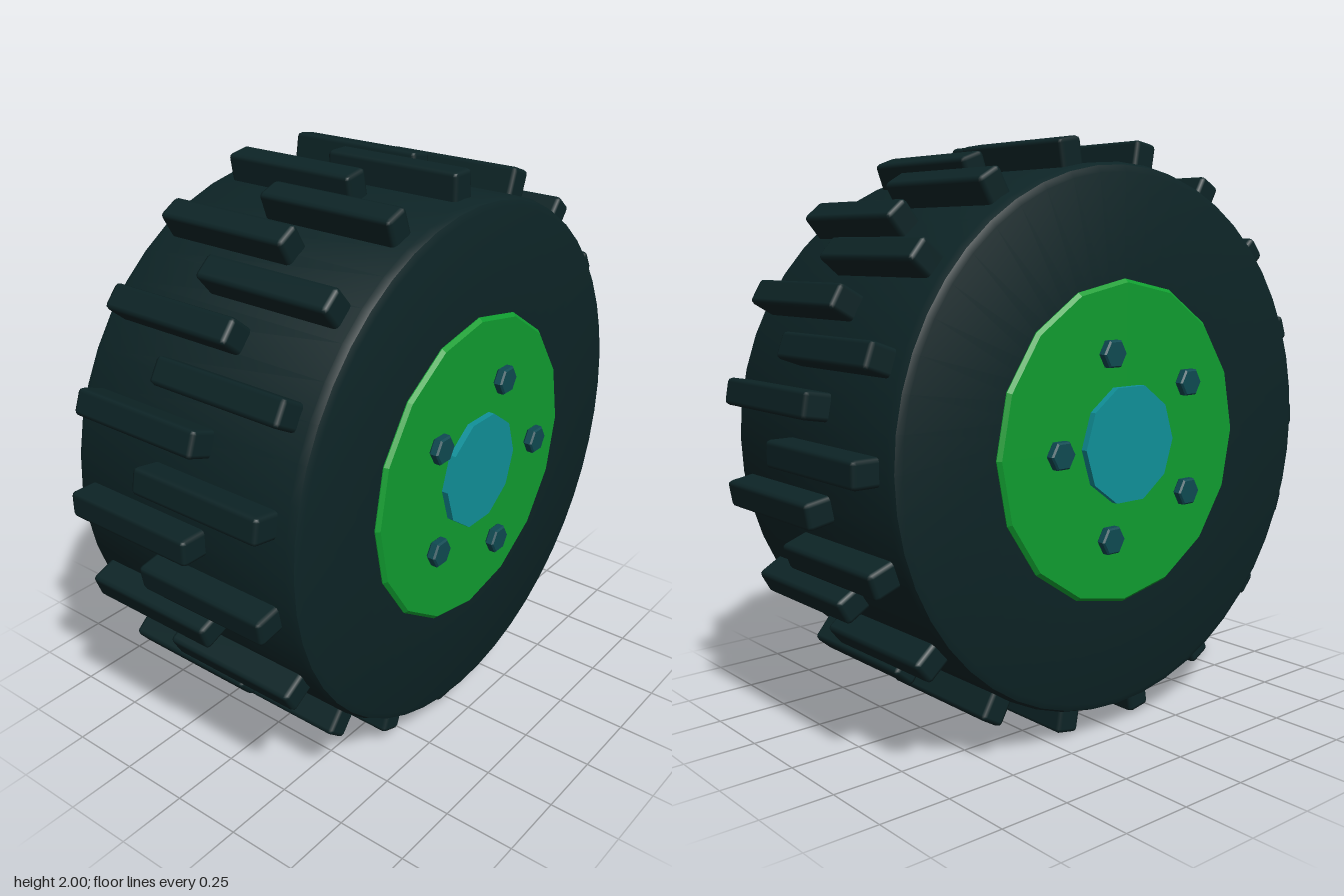
import * as THREE from 'three';
import { toCreasedNormals } from 'three/addons/utils/BufferGeometryUtils.js';
import { RoundedBoxGeometry } from 'three/addons/geometries/RoundedBoxGeometry.js';

function material(name, color, flatShading = false) {
  const m = new THREE.MeshStandardMaterial({ color, flatShading });
  m.name = name;
  return m;
}

// Solid turned about the x axis; profile is [radius, x] pairs from -x to +x
function turned(profile, sides) {
  const points = profile.map(([r, x]) => new THREE.Vector2(r, x));
  return new THREE.LatheGeometry(points, sides).rotateZ(-Math.PI / 2);
}

// Closed disc with chamfered rims on both faces
function disc(radius, half, chamfer, sides) {
  return turned([
    [0, -half], [radius - chamfer, -half], [radius, -half + chamfer],
    [radius, half - chamfer], [radius - chamfer, half], [0, half],
  ], sides);
}

export function createModel() {
  const model = new THREE.Group();
  model.name = 'wheel';
  const wheel = new THREE.Group();
  wheel.name = 'wheelAssembly';
  wheel.position.y = 1;
  model.add(wheel);

  const rubber = material('dark rubber', 0x0d2426);
  const green = material('rim green', 0x109d30, true);
  const teal = material('hub teal', 0x10919a, true);
  const steel = material('bolt blue grey', 0x0f4a52, true);

  function add(name, geometry, mat, parent = wheel) {
    const mesh = new THREE.Mesh(geometry, mat);
    mesh.name = name;
    parent.add(mesh);
    return mesh;
  }

  // Tyre body with softened shoulders
  const shoulder = [[0.44, 0.47], [0.88, 0.47], [0.902, 0.46], [0.912, 0.435]];
  const tyreProfile = [
    ...shoulder.map(([r, x]) => [r, -x]),
    ...shoulder.slice().reverse(),
  ];
  add('tyre', toCreasedNormals(turned(tyreProfile, 48), 0.6), rubber);

  // Tread lugs, alternating between the two sides
  const treads = new THREE.Group();
  treads.name = 'treads';
  wheel.add(treads);
  const lug = new RoundedBoxGeometry(0.51, 0.16, 0.09, 1, 0.015);
  for (let i = 0; i < 36; i++) {
    const angle = (i / 36) * Math.PI * 2;
    const mesh = add('treadLug', lug, rubber, treads);
    mesh.position.set(i % 2 ? -0.142 : 0.142, 0.92 * Math.cos(angle), 0.92 * Math.sin(angle));
    mesh.rotation.x = angle;
  }

  // Rim and hub pass right through the tyre
  add('rim', disc(0.54, 0.485, 0.012, 16), green);
  add('hub', turned([[0, -0.508], [0.2, -0.508], [0.2, 0.508], [0, 0.508]], 10), teal);

  // Five hexagonal bolt heads on each side
  const bolt = disc(0.05, 0.017, 0.006, 6);
  for (const side of [-1, 1]) {
    for (let i = 0; i < 5; i++) {
      const angle = (i / 5) * Math.PI * 2;
      add('bolt', bolt, steel)
        .position.set(side * 0.52, 0.32 * Math.sin(angle), -0.32 * Math.cos(angle));
    }
  }

  return model;
}
